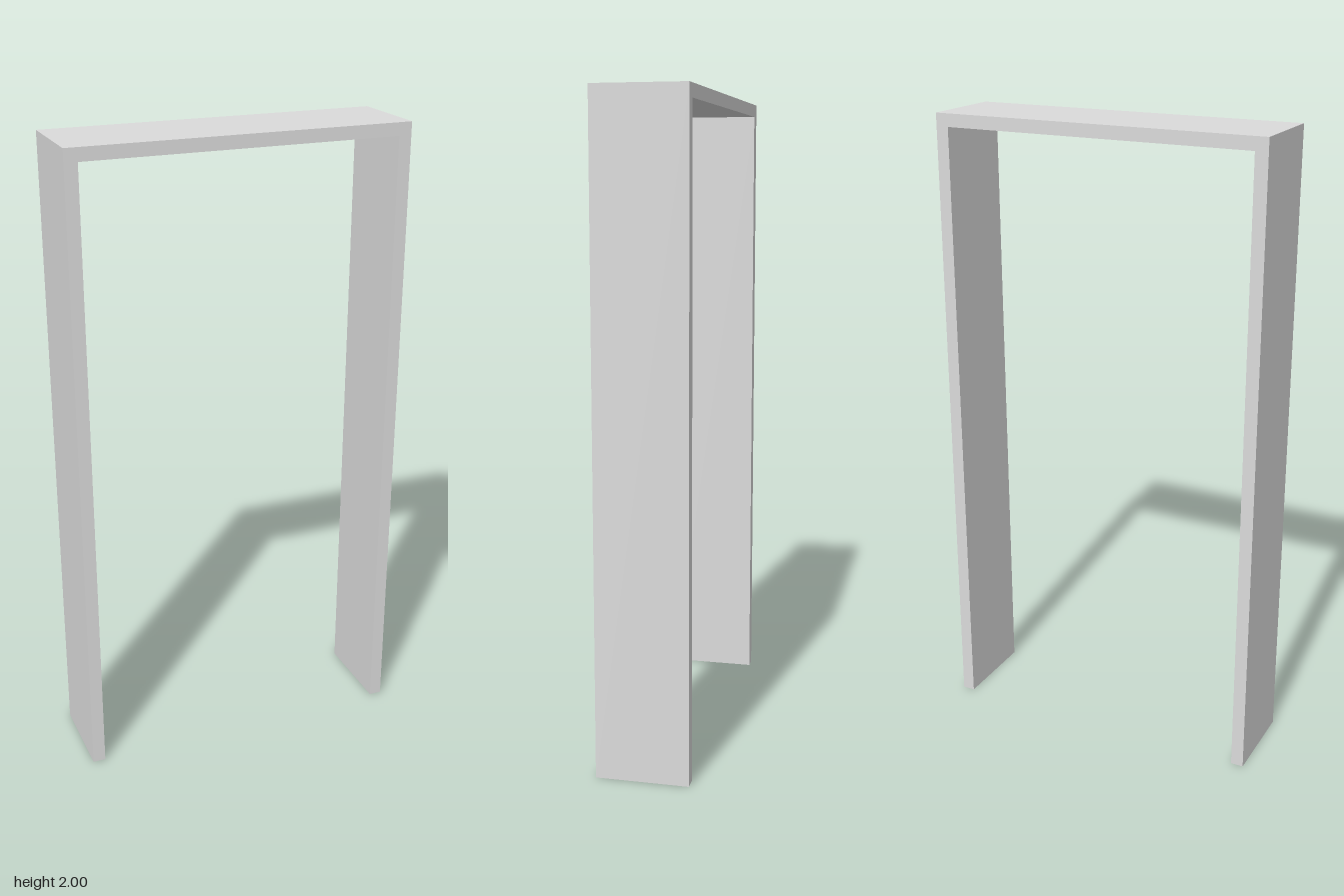
import * as THREE from 'three';

const W = 0.529, H = 2, D = 0.282, T = 0.04; // half width, height, depth, board thickness

// Drops the triangles lying on the floor, leaving the hollow leg ends open
function openFeet(geometry) {
  const source = geometry.index ? geometry.toNonIndexed() : geometry;
  const p = source.attributes.position;
  const kept = [];
  for (let i = 0; i < p.count; i += 3) {
    const onFloor = [0, 1, 2].every(k => Math.abs(p.getY(i + k)) < 1e-5);
    if (onFloor) continue;
    for (let k = 0; k < 3; k++) kept.push(p.getX(i + k), p.getY(i + k), p.getZ(i + k));
  }
  const result = new THREE.BufferGeometry();
  result.setAttribute('position', new THREE.Float32BufferAttribute(kept, 3));
  result.computeVertexNormals();
  return result;
}

export function createModel() {
  const group = new THREE.Group();
  group.name = 'doorway';
  const grey = new THREE.MeshStandardMaterial({ color: 0xdbdbdb, side: THREE.DoubleSide });
  grey.name = 'lightGrey';

  // Two jambs and the lintel as one continuous outline
  const outline = new THREE.Shape([
    [-W, 0], [-W + T, 0], [-W + T, H - T], [W - T, H - T],
    [W - T, 0], [W, 0], [W, H], [-W, H],
  ].map(([x, y]) => new THREE.Vector2(x, y)));
  const geometry = new THREE.ExtrudeGeometry(outline, { depth: D, bevelEnabled: false });
  geometry.translate(0, 0, -D / 2);

  const frame = new THREE.Mesh(openFeet(geometry), grey);
  frame.name = 'doorFrame';
  group.add(frame);
  return group;
}
